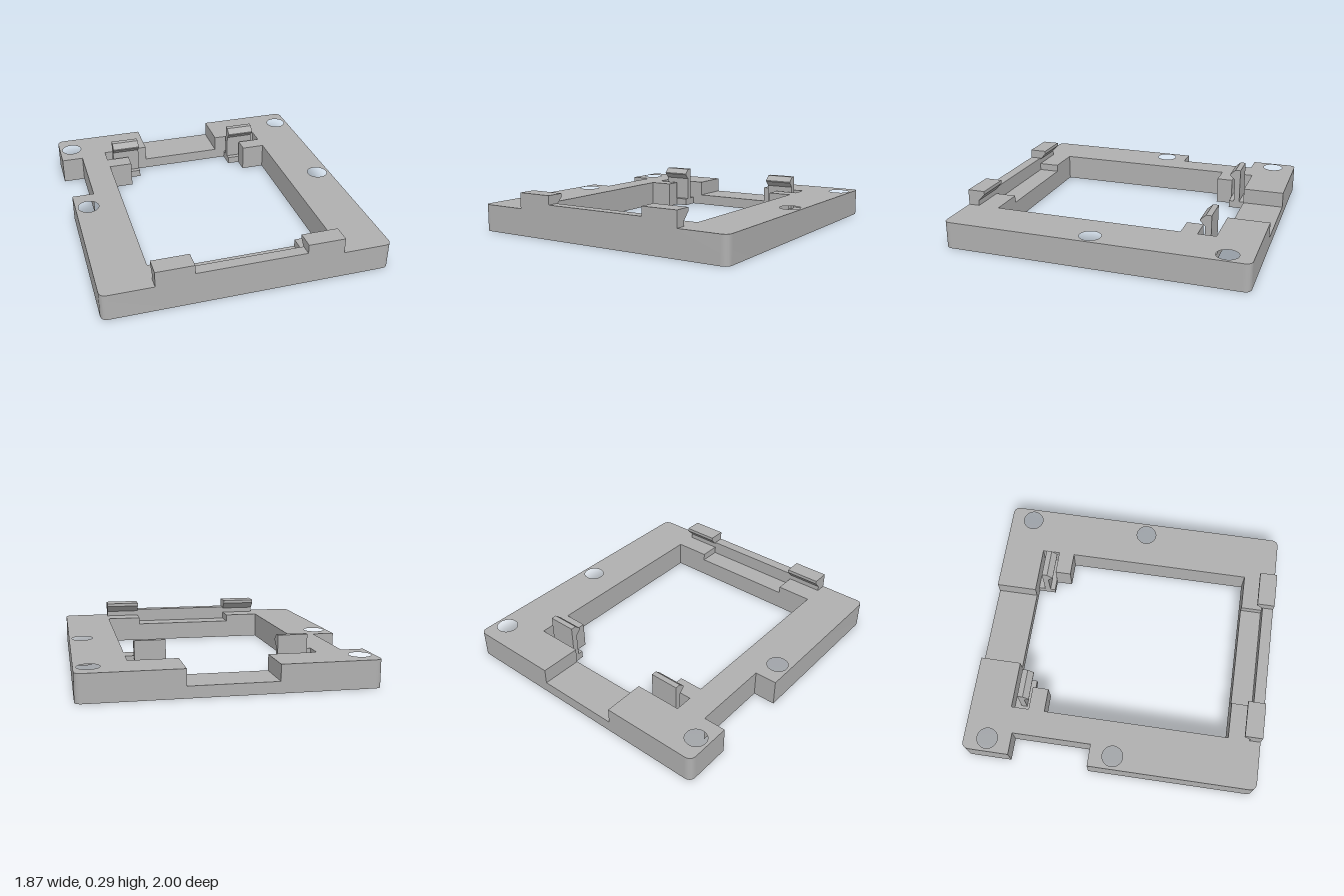
import * as THREE from 'three';
import { toCreasedNormals } from 'three/addons/utils/BufferGeometryUtils.js';

const H = 0.18;   // frame thickness
const X = 0.935;  // half width
const R = 0.05;   // corner radius

export function createModel() {
  const model = new THREE.Group();
  model.name = 'mountingFrame';
  const grey = new THREE.MeshStandardMaterial({ color: 0xb0b0b0 });
  grey.name = 'grey';

  const add = (name, geometry) => {
    const mesh = new THREE.Mesh(geometry, grey);
    mesh.name = name;
    model.add(mesh);
  };
  const box = (name, x0, x1, y0, y1, z0, z1) => {
    const g = new THREE.BoxGeometry(x1 - x0, y1 - y0, z1 - z0);
    g.translate((x0 + x1) / 2, (y0 + y1) / 2, (z0 + z1) / 2);
    add(name, g);
  };
  // Side profile given as [z, y] points, extruded from x0 to x1
  const profile = (name, points, x0, x1) => {
    const shape = new THREE.Shape(points.map(([z, y]) => new THREE.Vector2(-z, y)));
    const g = new THREE.ExtrudeGeometry(shape, { depth: x1 - x0, bevelEnabled: false });
    g.rotateY(Math.PI / 2).translate(x0, 0, 0);
    add(name, g);
  };

  // Full-height frame, open at the back sill and cut out for the front ledge
  const s = new THREE.Shape();
  const to = (...pts) => pts.forEach(([x, z]) => s.lineTo(x, -z));
  const corner = (cx, cz, ex, ez) => s.quadraticCurveTo(cx, -cz, ex, -ez);
  s.moveTo(0.285, 1);
  to([X - R, -1]);
  corner(X, -1, X, -1 + R);
  to([X, 1 - R]);
  corner(X, 1, X - R, 1);
  to([-X + R, 1]);
  corner(-X, 1, -X, 1 - R);
  to([-X, -0.14], [-0.785, -0.14], [-0.785, -0.68], [-X, -0.68], [-X, -1 + R]);
  corner(-X, -1, -X + R, -1);
  to([-0.285, -1], [-0.285, -0.72]);
  // Inner edge: pocket, stop block, side, ledge
  const inner = [[0.605, -0.72], [0.605, -0.6], [0.445, -0.6], [0.445, -0.49],
    [0.605, -0.49], [0.605, 0.78], [0.36, 0.78], [0.36, 0.925]];
  to(...inner.map(([x, z]) => [-x, z]), ...inner.slice().reverse(), [0.285, -0.72]);
  s.closePath();

  // Screw holes
  for (const x of [-0.845, 0.845]) {
    for (const z of [-0.84, 0.02]) {
      const hole = new THREE.Path();
      hole.absarc(x, -z, 0.07, 0, Math.PI * 2, true);
      s.holes.push(hole);
    }
  }
  const frame = new THREE.ExtrudeGeometry(s, { depth: H, bevelEnabled: false, curveSegments: 20 });
  frame.rotateX(-Math.PI / 2);
  add('frame', toCreasedNormals(frame, 0.6));

  // Lowered sill at the back and ledge at the front
  box('backSill', -0.285, 0.285, 0, 0.075, -1, -0.72);
  box('frontLedge', -0.36, 0.36, 0, 0.13, 0.78, 0.925);
  box('frontLip', -0.36, 0.36, H, 0.225, 0.925, 1);

  for (const side of [-1, 1]) {
    const span = (a, b) => (side > 0 ? [a, b] : [-b, -a]);
    // Overhanging front hook
    profile('frontHook', [[1, H], [1, 0.285], [0.88, 0.285], [0.88, 0.262],
      [0.925, 0.215], [0.925, H]], ...span(0.36, 0.605));
    // Pocket floor with the spring clip standing on it
    box('pocketFloor', ...span(0.36, 0.605), 0, 0.05, -0.72, -0.6);
    profile('springClip', [[-0.675, 0.05], [-0.675, 0.29], [-0.638, 0.29], [-0.6, 0.255],
      [-0.6, 0.248], [-0.635, 0.213], [-0.635, 0.05]], ...span(0.36, 0.555));
  }
  return model;
}
